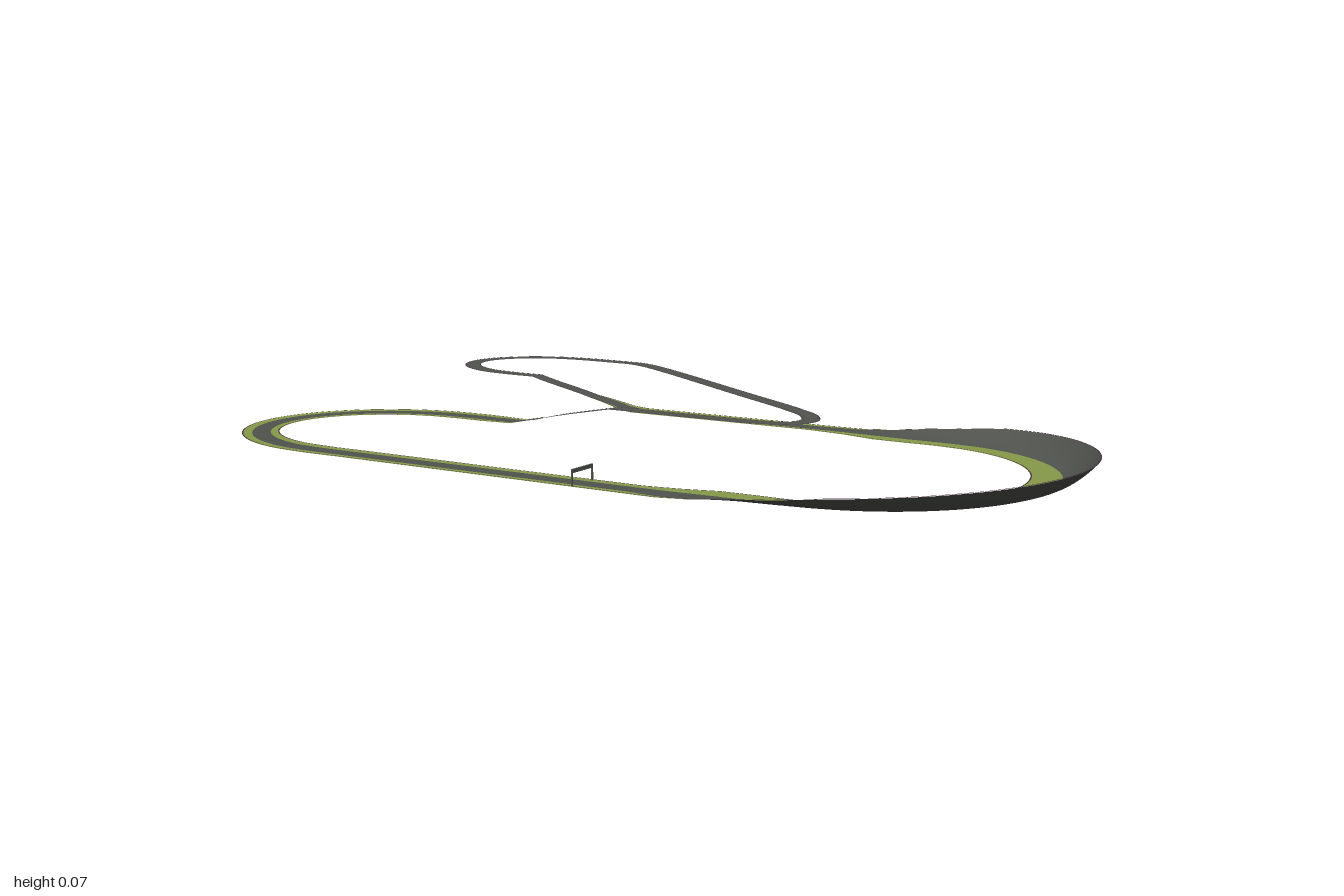
import * as THREE from 'three';

// Stations along the closed lap, in driving order:
// [x, z, height, grassLeft, grassRight, roadLeft, roadRight, bank]
// The widths are distances from the centre line to each edge.
function lapStations() {
  const plain = [0.04, 0.04, 0.021, 0.021, 0];
  const bare = [0.021, 0.021, 0.021, 0.021, 0];
  const rows = [];
  const add = (x, z, y, section) => rows.push([x, z, y, ...section]);

  // Front straight
  for (const x of [-0.5, -0.2, 0.1, 0.22]) add(x, 0.575, 0, plain);
  add(0.3, 0.575, 0, [0.052, 0.04, 0.023, 0.03, 0]);
  add(0.38, 0.575, 0, [0.073, 0.042, 0.028, 0.041, 0.005]);
  add(0.46, 0.575, 0, [0.075, 0.042, 0.031, 0.042, 0.014]);

  // Wide banked turn
  for (let i = 0; i <= 12; i++) {
    const a = (Math.PI * i) / 12, s = Math.max(0, Math.sin(a));
    add(0.545 + 0.413 * s, 0.162 + 0.413 * Math.cos(a), 0,
      [0.076 + 0.022 * s, 0.042, 0.032, 0.042, 0.022 + 0.028 * s ** 0.6]);
  }

  // Back straight, grass ending where the road climbs
  add(0.46, -0.251, 0, [0.075, 0.041, 0.031, 0.041, 0.014]);
  add(0.38, -0.252, 0, [0.073, 0.04, 0.028, 0.039, 0.005]);
  add(0.3, -0.253, 0, [0.052, 0.038, 0.023, 0.03, 0]);
  for (const x of [0.2, 0, -0.3]) add(x, -0.253, 0, [0.038, 0.037, 0.021, 0.021, 0]);
  add(-0.34, -0.254, 0.004, [0.035, 0.034, 0.021, 0.021, 0]);
  add(-0.44, -0.255, 0.025, bare);
  add(-0.62, -0.256, 0.065, bare);

  // Raised loop
  for (let i = 0; i <= 8; i++) {
    const a = (Math.PI * i) / 8;
    add(-0.7 - 0.235 * Math.sin(a), -0.428 + 0.17 * Math.cos(a), 0.065, bare);
  }
  add(-0.6, -0.597, 0.065, bare);
  add(-0.53, -0.592, 0.065, bare);
  add(-0.46, -0.565, 0.064, bare);

  // Diagonal bridge and hairpin
  add(0, -0.27, 0.06, bare);
  add(0.2, -0.143, 0.057, bare);
  add(0.265, -0.09, 0.056, bare);
  add(0.296, -0.025, 0.056, bare);
  add(0.268, 0.022, 0.055, bare);
  add(0.2, 0.04, 0.055, bare);
  add(0.1, 0.042, 0.055, bare);

  // Ramp back to the ground
  add(-0.18, 0.042, 0.055, bare);
  add(-0.39, 0.042, 0.013, bare);
  add(-0.46, 0.042, 0, [0.032, 0.032, 0.021, 0.021, 0]);
  add(-0.54, 0.042, 0, [0.041, 0.04, 0.021, 0.021, 0]);

  // Flat left turn
  for (let i = 0; i <= 10; i++) {
    const a = (Math.PI * i) / 10;
    add(-0.62 - 0.332 * Math.sin(a), 0.3085 - 0.2665 * Math.cos(a), 0,
      [0.041, 0.041 + 0.004 * Math.sin(a), 0.021, 0.021, 0]);
  }
  return rows;
}

// Samples the lap into frames holding position, left direction and section.
function sampleLap(rows, steps) {
  const curve = new THREE.CatmullRomCurve3(
    rows.map(([x, z]) => new THREE.Vector3(x, 0, z)), true, 'centripetal');
  const frames = [];
  const total = rows.length * steps;
  for (let k = 0; k <= total; k++) {
    const i = Math.floor(k / steps) % rows.length, f = (k % steps) / steps;
    const next = rows[(i + 1) % rows.length];
    const t = (k % total) / total;
    const p = curve.getPoint(t), d = curve.getTangent(t);
    const [, , y, gl, gr, rl, rr, bank] =
      rows[i].map((v, j) => THREE.MathUtils.lerp(v, next[j], f));
    frames.push({ p, left: new THREE.Vector3(d.z, 0, -d.x), y, gl, gr, rl, rr, bank });
  }
  return frames;
}

// Ribbon along the lap; section(frame) lists [offset to the left, height].
function ribbon(name, frames, section, material) {
  const pos = [], index = [];
  const cuts = frames.map(section);
  const n = cuts[0].length;
  cuts.forEach((cut, i) => {
    const { p, left, y } = frames[i];
    for (const [off, h] of cut) pos.push(p.x + left.x * off, y + h, p.z + left.z * off);
    if (i === 0) return;
    const width = (c) => Math.abs(c[0][0] - c[n - 1][0]);
    if (width(cut) + width(cuts[i - 1]) < 1e-4) return;
    for (let j = 0; j < n - 1; j++) {
      const a = (i - 1) * n + j, b = i * n + j;
      index.push(a, a + 1, b + 1, a, b + 1, b);
    }
  });
  const geometry = new THREE.BufferGeometry();
  geometry.setAttribute('position', new THREE.Float32BufferAttribute(pos, 3));
  geometry.setIndex(index);
  geometry.computeVertexNormals();
  const mesh = new THREE.Mesh(geometry, material);
  mesh.name = name;
  return mesh;
}

export function createModel() {
  const group = new THREE.Group();
  group.name = 'raceTrack';
  const paint = (color) => new THREE.MeshStandardMaterial({ color, side: THREE.DoubleSide });
  const asphalt = paint(0x50534e), grass = paint(0x869a4a), kerb = paint(0x4a3540);
  const frames = sampleLap(lapStations(), 6);

  // Road, curving upward to its outer edge where banked
  group.add(ribbon('road', frames, ({ rl, rr, bank }) =>
    Array.from({ length: 9 }, (_, j) => {
      const u = j / 8;
      return [rl - (rl + rr) * u, bank * u ** 1.7];
    }), asphalt));

  // Grass verges
  group.add(ribbon('leftVerge', frames, (f) => [[f.gl, 0], [f.rl, 0]], grass));
  group.add(ribbon('rightVerge', frames, (f) => {
    const outer = Math.max(f.gr, f.rr);
    return [[-outer, f.bank], [-f.rr, f.bank]].reverse();
  }, grass));

  // Thin edging on both sides
  const edge = 0.003, lift = 0.0008;
  group.add(ribbon('leftEdging', frames, (f) => [[f.gl, lift], [f.gl - edge, lift]], kerb));
  group.add(ribbon('rightEdging', frames, (f) => {
    const outer = Math.max(f.gr, f.rr);
    return [[edge - outer, f.bank + lift], [-outer, f.bank + lift]];
  }, kerb));

  // Start gate: two posts and a crossbeam
  const gate = new THREE.Group();
  gate.name = 'startGate';
  const bar = (name, w, h, d, y, z) => {
    const mesh = new THREE.Mesh(new THREE.BoxGeometry(w, h, d), asphalt);
    mesh.name = name;
    mesh.position.set(0.104, y, z);
    gate.add(mesh);
  };
  for (const z of [0.54, 0.61]) bar('gatePost', 0.003, 0.033, 0.003, 0.0165, z);
  bar('gateBeam', 0.003, 0.008, 0.073, 0.03, 0.575);
  group.add(gate);
  return group;
}
